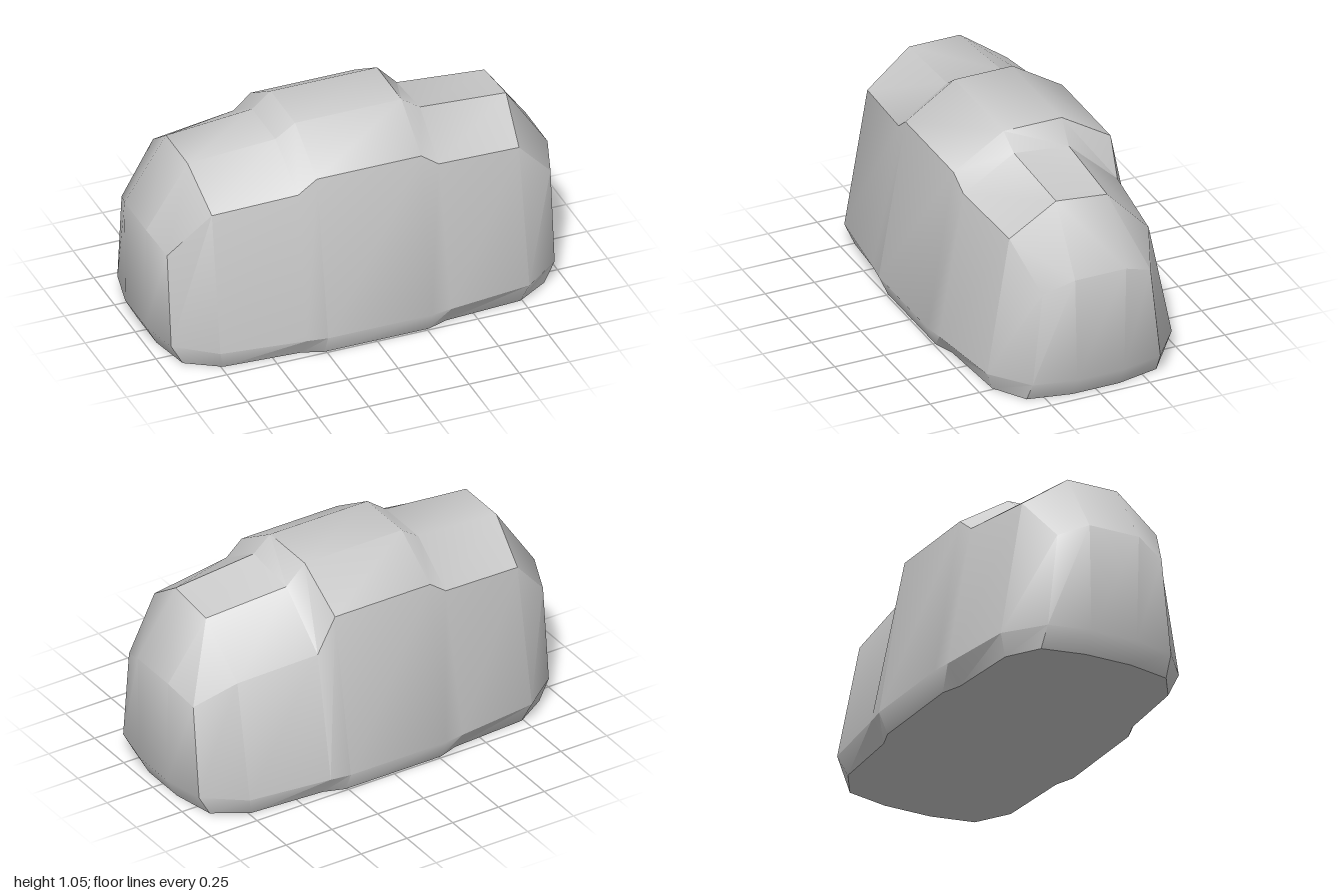
import * as THREE from 'three';
import { toCreasedNormals } from 'three/addons/utils/BufferGeometryUtils.js';

// Half cross-sections from the middle outwards, each point as [x, y, z]:
// foot, widest line, shoulder, top edge
const HALF = [
  [[0.26, 0, 0.49], [0.26, 0.1, 0.535], [0.26, 0.89, 0.4], [0.265, 1.05, 0.148]],
  [[0.36, 0, 0.455], [0.36, 0.1, 0.52], [0.35, 0.82, 0.392], [0.36, 0.98, 0.14]],
  [[0.74, 0, 0.43], [0.77, 0.1, 0.47], [0.765, 0.787, 0.355], [0.793, 0.947, 0.13]],
  [[0.9, 0, 0.33], [0.955, 0.1, 0.325], [0.955, 0.567, 0.275], [1, 0.632, 0.13]],
  [[0.945, 0, 0.12], [1, 0.1, 0.12], [1, 0.632, 0.13], [1, 0.632, 0.13]],
];

// The back of the +x half has a sunken shoulder: [shoulder y, top y] per section
const SUNKEN = { 1: [0.71, 0.95], 2: [0.675, 0.92] };

// Closed ring of eight points: up the front, over the top, down the back
function ring(index, side) {
  const front = HALF[index].map(([x, y, z]) => new THREE.Vector3(x * side, y, z));
  const back = front.map((p) => new THREE.Vector3(p.x, p.y, -p.z));
  if (side > 0 && SUNKEN[index]) {
    back[2].y = SUNKEN[index][0];
    back[3].y = SUNKEN[index][1];
  }
  return [...front, ...back.reverse()];
}

function bodyGeometry() {
  const rings = [
    ...[4, 3, 2, 1, 0].map((i) => ring(i, -1)),
    ...[0, 1, 2, 3, 4].map((i) => ring(i, 1)),
  ];
  const positions = [];
  const triangle = new THREE.Triangle();
  const addTriangle = (a, b, c) => {
    triangle.set(a, b, c);
    if (triangle.getArea() < 1e-7) return; // collapsed corner
    for (const p of [a, b, c]) positions.push(p.x, p.y, p.z);
  };
  const addQuad = (a, b, c, d) => {
    addTriangle(a, b, c);
    addTriangle(a, c, d);
  };

  // Skin between neighbouring rings, underside included
  for (let i = 0; i < rings.length - 1; i++) {
    for (let j = 0; j < 8; j++) {
      const k = (j + 1) % 8;
      addQuad(rings[i][j], rings[i + 1][j], rings[i + 1][k], rings[i][k]);
    }
  }

  // Flat ends
  const right = rings[rings.length - 1];
  const left = rings[0];
  for (const [a, b, c, d] of [[0, 7, 6, 1], [1, 6, 4, 3]]) {
    addQuad(right[a], right[b], right[c], right[d]);
    addQuad(left[d], left[c], left[b], left[a]);
  }

  const geometry = new THREE.BufferGeometry();
  geometry.setAttribute('position', new THREE.Float32BufferAttribute(positions, 3));
  return toCreasedNormals(geometry, 0.65);
}

export function createModel() {
  const group = new THREE.Group();
  group.name = 'boulder';
  const body = new THREE.Mesh(bodyGeometry(), new THREE.MeshStandardMaterial({ color: 0xcccccc }));
  body.name = 'boulderBody';
  group.add(body);
  return group;
}
